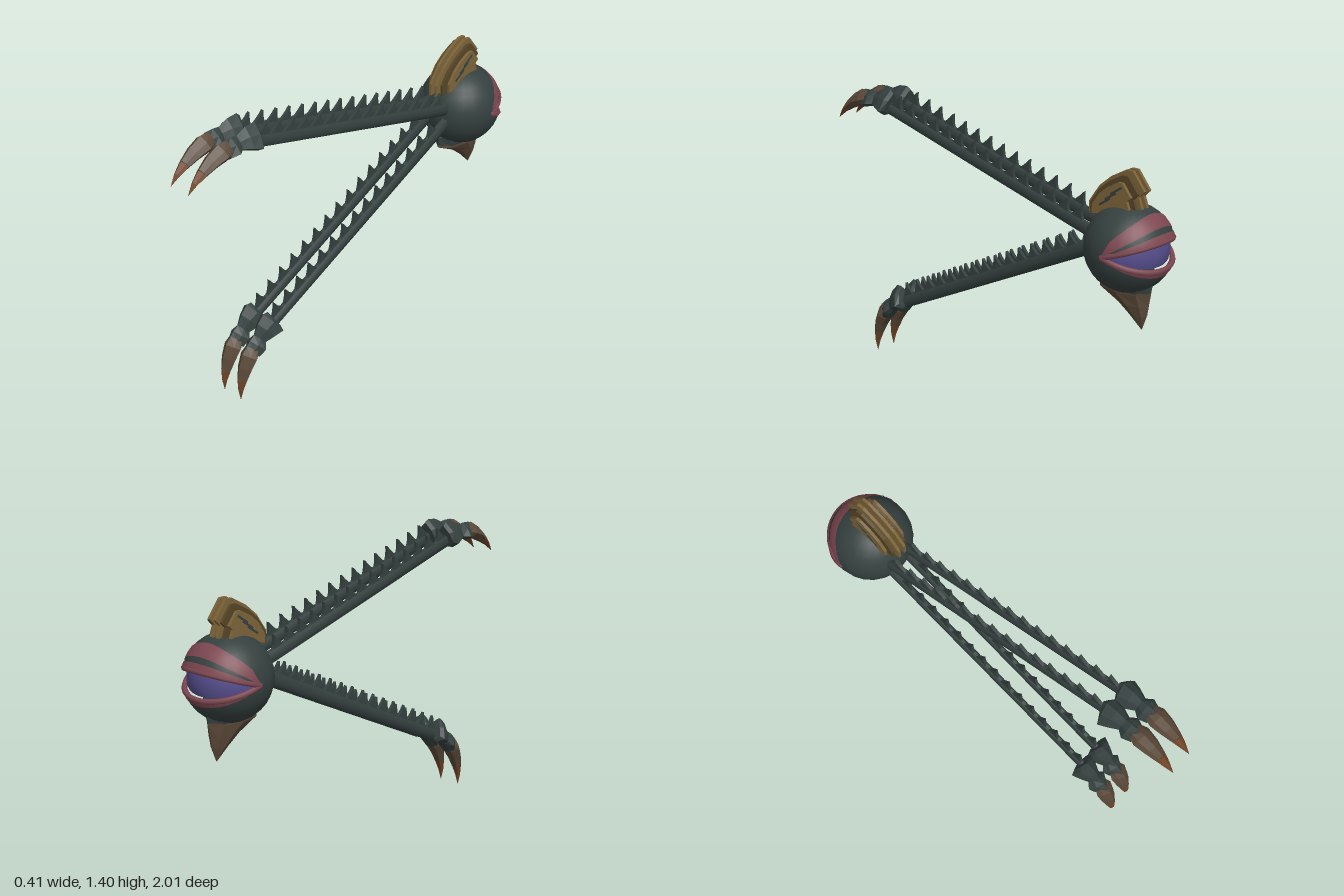
import * as THREE from 'three';

const mat = (name, color, side = THREE.FrontSide) => {
  const m = new THREE.MeshStandardMaterial({ color, side });
  m.name = name;
  return m;
};

// Skin of rings [along, offset, half height, half width] over a unit section of [normal, lateral] points.
function loft(rings, section, { tilt = true, flat = true } = {}) {
  const pos = [], idx = [], n = section.length;
  rings.forEach(([u, v, h, w], i) => {
    const a = rings[Math.max(i - 1, 0)], b = rings[Math.min(i + 1, rings.length - 1)];
    const t = tilt ? Math.atan2(b[1] - a[1], b[0] - a[0]) : 0;
    for (const [p, q] of section) pos.push(u - Math.sin(t) * p * h, v + Math.cos(t) * p * h, q * w);
  });
  const last = rings.length - 1;
  for (let i = 0; i < last; i++) for (let j = 0; j < n; j++) {
    const k = (j + 1) % n, a = i * n + j, b = i * n + k;
    idx.push(a, b, a + n, b, b + n, a + n);
  }
  for (let j = 1; j < n - 1; j++) {
    idx.push(0, j + 1, j);
    idx.push(last * n, last * n + j, last * n + j + 1);
  }
  let g = new THREE.BufferGeometry();
  g.setAttribute('position', new THREE.Float32BufferAttribute(pos, 3));
  g.setIndex(idx);
  if (flat) g = g.toNonIndexed();
  g.computeVertexNormals();
  return g;
}

const ngon = (n) => Array.from({ length: n }, (_, i) => [Math.cos(i * 2 * Math.PI / n), Math.sin(i * 2 * Math.PI / n)]);

// Point on the ball: azimuth from straight back, elevation up.
const onBall = (az, el, r) => new THREE.Vector3(-r * Math.cos(el) * Math.sin(az), r * Math.sin(el), -r * Math.cos(el) * Math.cos(az));

// Piece of the ball between two elevation curves.
function patch(az0, az1, lo, hi, r, nx = 16, ny = 8) {
  const g = new THREE.PlaneGeometry(1, 1, nx, ny), p = g.attributes.position;
  for (let i = 0; i < p.count; i++) {
    const az = az0 + (p.getX(i) + 0.5) * (az1 - az0);
    const el = lo(az) + (p.getY(i) + 0.5) * (hi(az) - lo(az));
    const v = onBall(az, el, r(az));
    p.setXYZ(i, v.x, v.y, v.z);
    v.normalize();
    g.attributes.normal.setXYZ(i, v.x, v.y, v.z);
  }
  return g;
}

export function createModel() {
  const root = new THREE.Group();
  const shell = mat('dark shell', 0x34403f);
  const horn = mat('brown horn', 0x5a4838);
  const hornTip = mat('rust horn tip', 0x704428);
  const gold = mat('old gold', 0x7c6439);
  const goldDark = mat('dark gold', 0x574627);
  const lid = mat('dusky pink lid', 0x7c4650, THREE.DoubleSide);
  const iris = mat('violet eye', 0x544d8c, THREE.DoubleSide);
  const add = (parent, name, geo, material) => {
    const m = new THREE.Mesh(geo, material);
    m.name = name;
    parent.add(m);
    return m;
  };

  // Ball body, open at the back for the eye
  const body = new THREE.Group();
  body.name = 'body';
  body.position.set(0, 0.95, -0.81);
  root.add(body);
  const H = Math.PI / 2, R = 0.2, deg = Math.PI / 180;
  const edge = (az) => 18 * deg * Math.cos(az);
  const ball = () => R;
  add(body, 'frontShell', patch(H, 3 * H, () => -H, () => H, ball, 12, 16), shell);
  add(body, 'upperBackShell', patch(-H, H, edge, () => H, ball), shell);
  add(body, 'lowerBackShell', patch(-H, H, () => -H, (a) => -edge(a), ball), shell);

  // Recessed eye, brow patch and lid rims
  add(body, 'eye', patch(-H, H, (a) => -edge(a), edge, (a) => R - 0.03 * Math.cos(a)), iris);
  add(body, 'brow', patch(-H, H, (a) => 37 * deg * Math.cos(a),
    (a) => 58 * deg * Math.pow(Math.max(Math.cos(a), 0), 0.6), () => R + 0.003), lid);
  for (const s of [1, -1]) {
    add(body, 'lidBand', patch(-H, H, (a) => s * (s > 0 ? 18 : 27) * deg * Math.cos(a),
      (a) => s * (s > 0 ? 29 : 18) * deg * Math.cos(a), () => R + 0.003, 16, 3), lid);
    const pts = [];
    for (let i = 0; i <= 12; i++) {
      const a = -H + i * H / 6;
      pts.push(onBall(a, s * 19 * deg * Math.cos(a), R - 0.006));
    }
    add(body, 'lidRim', new THREE.TubeGeometry(new THREE.CatmullRomCurve3(pts), 24, 0.013, 6), lid);
  }

  // Pointed chin, hanging down and back
  const chin = new THREE.Group();
  chin.name = 'chin';
  chin.applyMatrix4(new THREE.Matrix4().makeBasis(
    new THREE.Vector3(0, -1, 0), new THREE.Vector3(0, 0, 1), new THREE.Vector3(-1, 0, 0)));
  root.add(chin);
  const oct = ngon(8);
  add(chin, 'chinBase', loft([[-0.87, -0.81, 0.13, 0.09], [-0.81, -0.8, 0.145, 0.085], [-0.755, -0.795, 0.14, 0.07]],
    oct, { tilt: false }), shell);
  add(chin, 'chinSpike', loft([[-0.77, -0.797, 0.141, 0.073], [-0.755, -0.795, 0.141, 0.072], [-0.7, -0.845, 0.08, 0.052],
    [-0.65, -0.872, 0.045, 0.032], [-0.585, -0.893, 0.001, 0.001]], oct, { tilt: false }), horn);

  // Crest of upright plates, stepped smaller toward the outside
  const crest = new THREE.Group();
  crest.name = 'crest';
  root.add(crest);
  const outline = [[-0.6, 1.06], [-0.6, 1.12], [-0.655, 1.2], [-0.72, 1.255], [-0.8, 1.3], [-0.835, 1.3],
    [-0.9, 1.22], [-0.87, 1.19], [-0.89, 1.14], [-0.8, 1.1]];
  const cz = -0.76, cy = 1.13;
  for (const side of [1, -1]) [1, 0.87, 0.7].forEach((k, i) => {
    const shape = new THREE.Shape(outline.map(([z, y]) => new THREE.Vector2(-(cz + (z - cz) * k), cy + (y - cy) * k)));
    const g = new THREE.ExtrudeGeometry(shape, { depth: 0.014, bevelEnabled: false });
    g.rotateY(H);
    const plate = add(crest, 'crestPlate', g, i === 1 ? goldDark : gold);
    plate.position.x = side * (0.017 + i * 0.02) - 0.007;
    if (i === 2) for (let j = 0; j < 3; j++) {
      const slot = add(crest, 'crestSlot', new THREE.BoxGeometry(0.006, 0.009, 0.07), shell);
      slot.position.set(side * 0.064, 1.15 + j * 0.03, -0.72 - j * 0.03);
      slot.rotation.x = 0.6;
    }
  });

  // Limb parts, drawn along +x with the teeth toward +y
  const arm = loft([[0.05, 0, 0.034, 0.021], [0.8, 0, 0.033, 0.02], [1.43, 0, 0.032, 0.019]], ngon(8), { flat: false });
  const toothShape = new THREE.Shape();
  toothShape.moveTo(-0.036, 0);
  toothShape.quadraticCurveTo(-0.018, 0.022, -0.012, 0.064);
  toothShape.quadraticCurveTo(0.005, 0.03, 0.036, 0);
  const tooth = new THREE.ExtrudeGeometry(toothShape, { depth: 0.016, bevelEnabled: false, curveSegments: 3 });
  tooth.translate(0, 0.025, -0.008);
  const ridge = [[1, 0], [0.3, 0.6], [-0.6, 1], [-1, 0.45], [-1, -0.45], [-0.6, -1], [0.3, -0.6]];
  const hand = loft([[1.4, 0.03, 0.05, 0.05], [1.415, 0.03, 0.061, 0.073], [1.46, 0.023, 0.052, 0.058],
    [1.505, 0.008, 0.034, 0.036], [1.535, 0, 0.038, 0.058], [1.575, -0.017, 0.043, 0.042]], ridge);
  const diamond = [[1, 0], [0.45, 0.65], [-0.1, 1], [-0.8, 0.5], [-0.8, -0.5], [-0.1, -1], [0.45, -0.65]];
  const claw = loft([[1.555, -0.008, 0.04, 0.036], [1.59, -0.026, 0.045, 0.05], [1.64, -0.062, 0.036, 0.042],
    [1.682, -0.105, 0.026, 0.029]], diamond);
  const clawTip = loft([[1.682, -0.105, 0.026, 0.029], [1.715, -0.148, 0.014, 0.016], [1.74, -0.197, 0.001, 0.001]], diamond);

  // Two upper and two lower limbs
  for (const [name, angle, shift] of [['upperLimb', 0.25, 0], ['lowerLimb', -0.457, 0.025]]) for (const side of [1, -1]) {
    const limb = new THREE.Group();
    limb.name = name;
    limb.rotation.set(0, -H, angle, 'YXZ');
    limb.position.set(side * 0.055, 0.971 + shift * Math.sin(angle), -0.734 + shift * Math.cos(angle));
    add(limb, 'arm', arm, shell);
    for (let i = 0; i < 15; i++) add(limb, 'tooth', tooth, shell).position.x = 0.185 + i * 0.084;
    add(limb, 'hand', hand, shell);
    add(limb, 'claw', claw, horn);
    add(limb, 'clawTip', clawTip, hornTip);
    root.add(limb);
  }
  return root;
}
